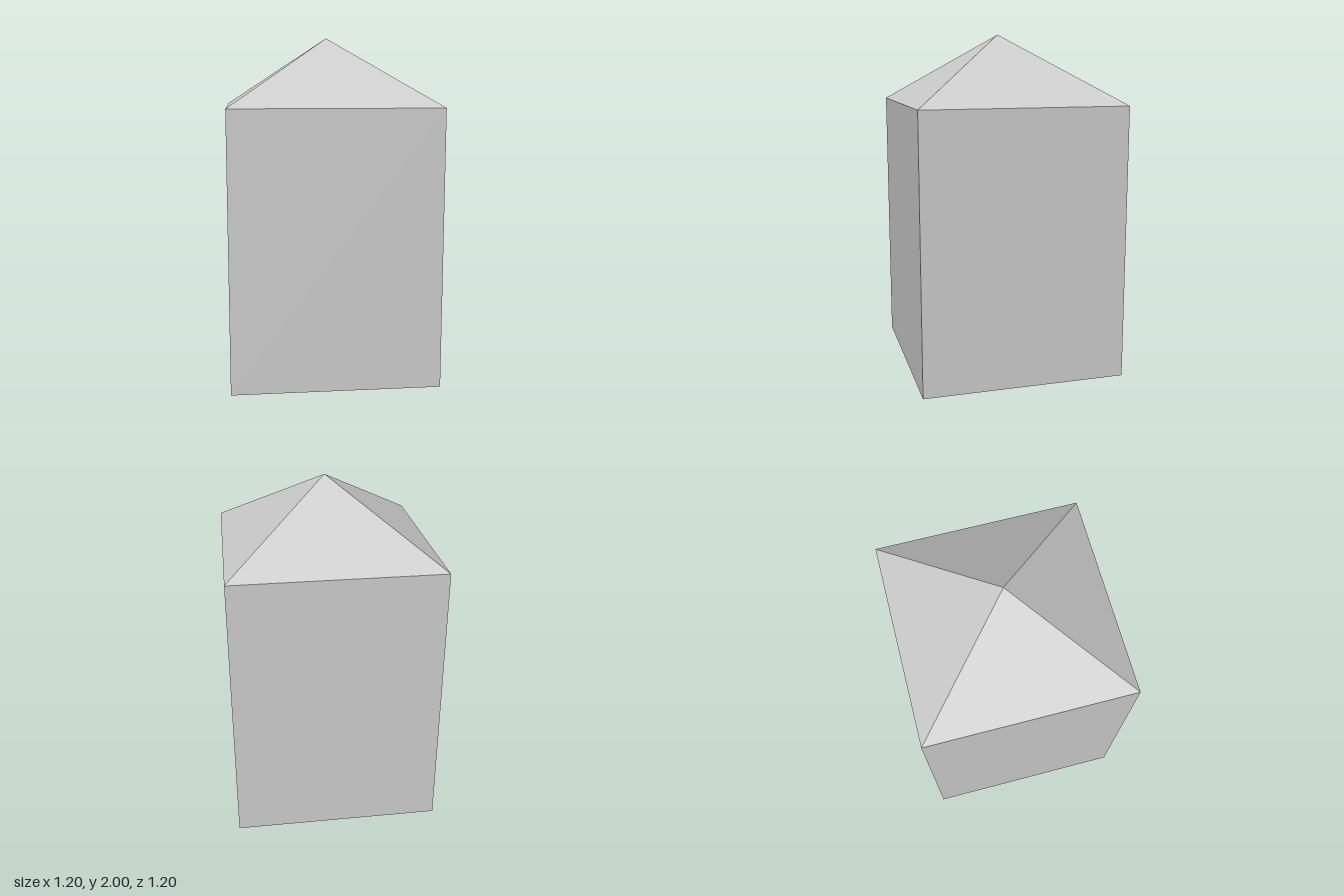
import * as THREE from 'three';

const WIDTH = 1.2;
const WALL_HEIGHT = 1.6;
const ROOF_HEIGHT = 0.4;

export function createModel() {
  const group = new THREE.Group();
  const material = new THREE.MeshStandardMaterial({ color: 0xcccccc, flatShading: true });

  // Square block standing on the ground
  const body = new THREE.Mesh(new THREE.BoxGeometry(WIDTH, WALL_HEIGHT, WIDTH), material);
  body.name = 'body';
  body.position.y = WALL_HEIGHT / 2;

  // Four-sided pyramid, turned so its corners meet the body's corners
  const roofGeometry = new THREE.ConeGeometry(WIDTH / Math.SQRT2, ROOF_HEIGHT, 4, 1, true);
  roofGeometry.rotateY(Math.PI / 4);
  const roof = new THREE.Mesh(roofGeometry, material);
  roof.name = 'roof';
  roof.position.y = WALL_HEIGHT + ROOF_HEIGHT / 2;

  group.add(body, roof);
  return group;
}
